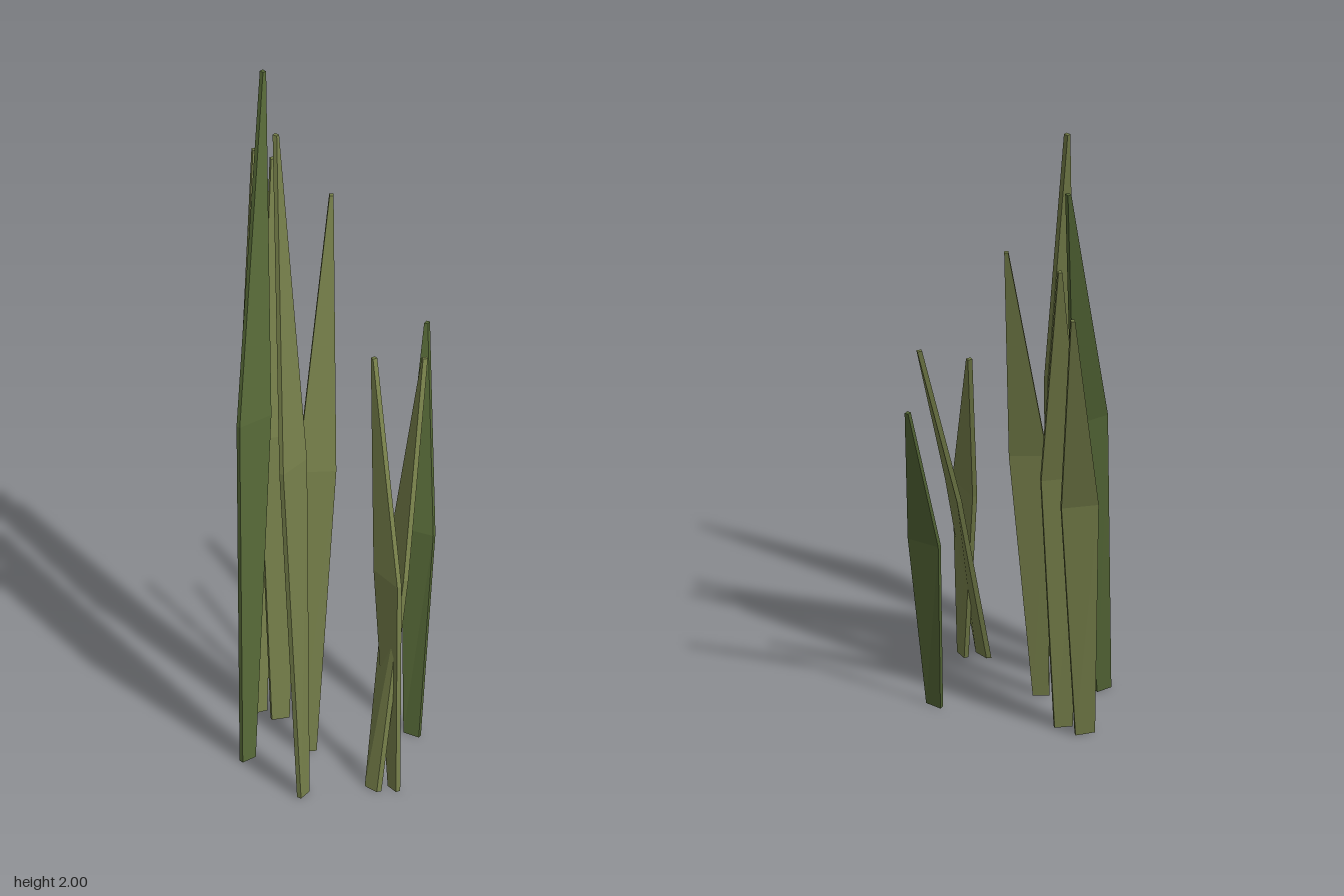
import * as THREE from 'three';

const olive = new THREE.MeshStandardMaterial({ color: 0x737c48, flatShading: true });
const green = new THREE.MeshStandardMaterial({ color: 0x536535, flatShading: true });

const THICK = 0.015;   // blade thickness
const TIP = 0.012;     // blunt tip width

// Each blade: base edge and middle edge as [x1, z1, x2, z2], middle height, tip [x, y, z]
const blades = [
  { base: [0.26, -0.085, 0.315, -0.09], mid: [0.165, -0.19, 0.268, -0.215], midY: 0.62, tip: [0.075, 1.19, -0.415], mat: green },
  { base: [0.38, 0.235, 0.43, 0.24], mid: [0.28, 0.01, 0.41, 0.09], midY: 0.65, tip: [0.26, 1.24, -0.18], mat: olive },
  { base: [0.43, 0.19, 0.473, 0.203], mid: [0.285, 0.08, 0.41, 0.12], midY: 0.64, tip: [0.132, 1.23, -0.098], mat: olive },
  { base: [0.27, 0.42, 0.262, 0.37], mid: [0.14, 0.345, 0.132, 0.225], midY: 1.03, tip: [-0.09, 2.0, 0.092], mat: olive },
  { base: [0.0, 0.363, 0.008, 0.312], mid: [-0.138, 0.21, -0.115, 0.09], midY: 1.03, tip: [-0.36, 2.0, -0.175], mat: green },
  { base: [-0.167, 0.13, -0.14, 0.075], mid: [-0.297, 0.015, -0.235, -0.08], midY: 0.86, tip: [-0.47, 1.65, -0.267], mat: olive },
  { base: [-0.093, 0.11, -0.062, 0.065], mid: [-0.19, 0.05, -0.123, -0.053], midY: 0.9, tip: [-0.318, 1.72, -0.168], mat: olive },
  { base: [0.092, 0.2, 0.127, 0.165], mid: [0.0, 0.1, 0.083, 0.02], midY: 0.88, tip: [-0.077, 1.69, -0.152], mat: olive },
];

// Loft a thin four-sided section through base, middle and tip
function bladeGeometry({ base, mid, midY, tip }) {
  const dir = new THREE.Vector2(mid[2] - mid[0], mid[3] - mid[1]).normalize();
  const nx = dir.y * THICK / 2, nz = -dir.x * THICK / 2;
  const wx = dir.x * TIP / 2, wz = dir.y * TIP / 2;
  const ring = ([ax, az, bx, bz], y) => [
    [ax - nx, y, az - nz], [bx - nx, y, bz - nz],
    [bx + nx, y, bz + nz], [ax + nx, y, az + nz],
  ];
  const [tx, ty, tz] = tip;
  const rings = [
    ring(base, 0), ring(mid, midY),
    ring([tx - wx, tz - wz, tx + wx, tz + wz], ty),
  ];
  const pos = [];
  const quad = (a, b, c, d) => pos.push(...a, ...b, ...c, ...a, ...c, ...d);
  for (let r = 0; r < 2; r++) {
    const lo = rings[r], hi = rings[r + 1];
    for (let i = 0; i < 4; i++) {
      const j = (i + 1) % 4;
      quad(lo[i], lo[j], hi[j], hi[i]);
    }
  }
  quad(...rings[2]);                // tip cap
  quad(...[...rings[0]].reverse()); // base cap
  const geo = new THREE.BufferGeometry();
  geo.setAttribute('position', new THREE.Float32BufferAttribute(pos, 3));
  geo.computeVertexNormals();
  return geo;
}

export function createModel() {
  const group = new THREE.Group();
  group.name = 'grassTuft';
  blades.forEach((blade, i) => {
    const mesh = new THREE.Mesh(bladeGeometry(blade), blade.mat);
    mesh.name = `grassBlade${i + 1}`;
    group.add(mesh);
  });
  return group;
}
